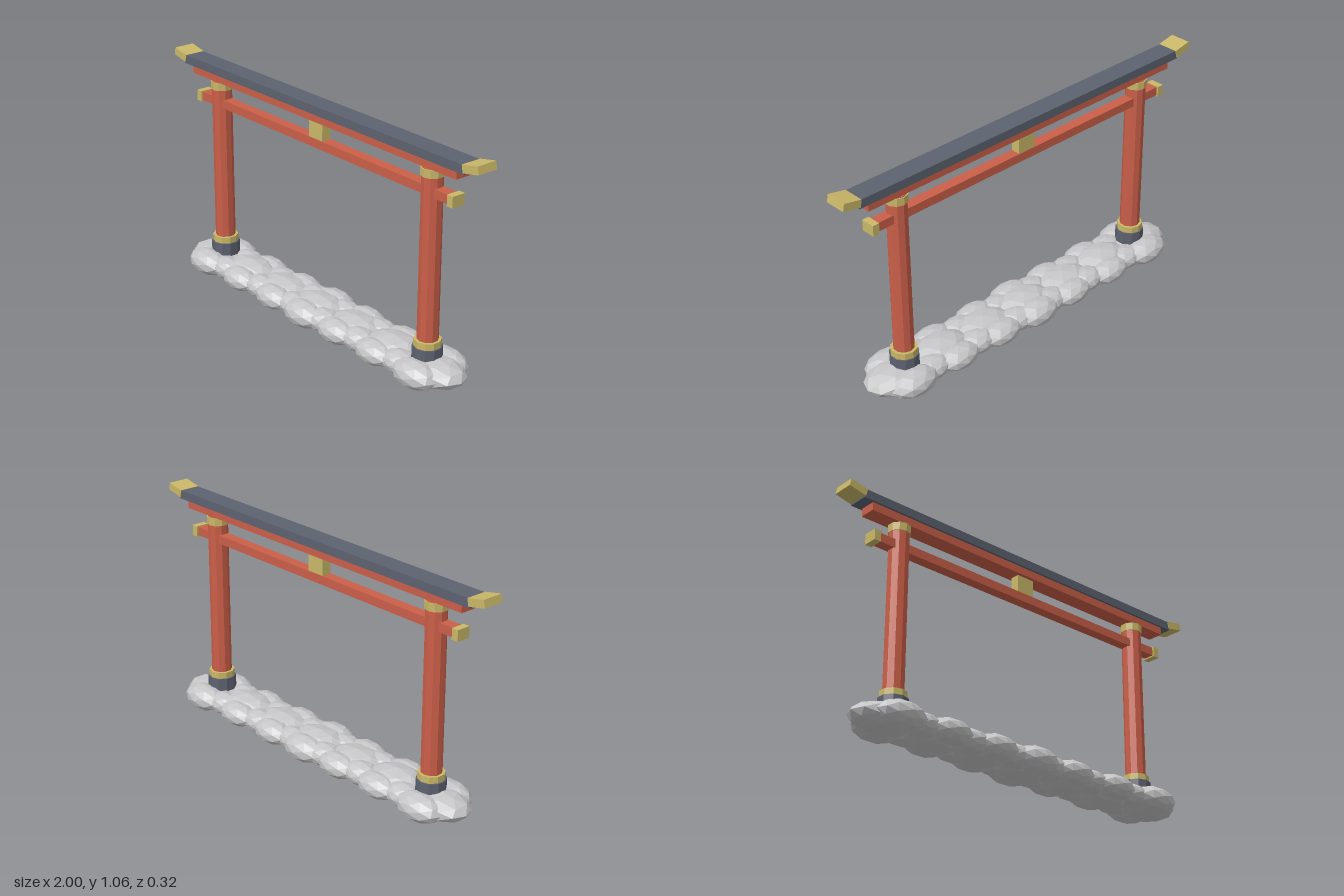
import * as THREE from 'three';

const paint = (name, color) => {
  const m = new THREE.MeshStandardMaterial({ color, flatShading: true });
  m.name = name;
  return m;
};

export function createModel() {
  const red = paint('vermilion wood', 0xcb5f49);
  const slate = paint('slate', 0x5d6270);
  const gold = paint('pale gold', 0xcab868);
  const stone = paint('grey stone', 0xc6c6c8);
  const gate = new THREE.Group();
  gate.name = 'gate';

  const add = (name, geometry, material, x, y, z = 0, parent = gate) => {
    const mesh = new THREE.Mesh(geometry, material);
    mesh.name = name;
    mesh.position.set(x, y, z);
    parent.add(mesh);
    return mesh;
  };
  // Box given by its height range
  const beam = (name, material, x, width, y0, y1, depth) =>
    add(name, new THREE.BoxGeometry(width, y1 - y0, depth), material, x, (y0 + y1) / 2);
  // Ten-sided drum given by its height range
  const drum = (name, material, x, y0, y1, rTop, rBottom = rTop) =>
    add(name, new THREE.CylinderGeometry(rTop, rBottom, y1 - y0, 10), material, x, (y0 + y1) / 2);

  // Cross beams and centre plaque
  beam('roofBeam', slate, 0, 1.84, 1.0, 1.04, 0.096);
  beam('upperBeam', red, 0, 1.74, 0.963, 1.0, 0.076);
  beam('lowerBeam', red, 0, 1.66, 0.84, 0.88, 0.05);
  beam('plaque', gold, 0, 0.09, 0.88, 0.963, 0.045);

  for (const side of [-1, 1]) {
    // Pillar with its footing and collars
    const x = 0.7 * side;
    drum('pillar', red, x, 0.12, 0.963, 0.046, 0.047);
    drum('footing', slate, x, 0.08, 0.165, 0.066, 0.067);
    drum('footCollar', gold, x, 0.165, 0.195, 0.06);
    drum('topCollar', gold, x, 0.924, 0.96, 0.051, 0.05);

    // Gold beam ends; the roof tips sweep upwards
    beam('lowerBeamEnd', gold, 0.834 * side, 0.032, 0.834, 0.884, 0.066);
    const tip = beam('roofTip', gold, 0.954 * side, 0.087, 1.015, 1.05, 0.1);
    tip.rotation.z = 0.2 * side;
  }

  // Bed of flattened, overlapping stones
  const bed = new THREE.Group();
  bed.name = 'stoneBed';
  gate.add(bed);
  const rock = new THREE.IcosahedronGeometry(1, 1);
  const addStone = (x, z, rx, ry, rz) =>
    add('stone', rock, stone, x, 0.066, z, bed).scale.set(rx, ry, rz);

  // Middle row
  for (let i = -3; i <= 3; i++) {
    const even = i % 2 === 0;
    addStone(i * 0.25, 0, 0.155, even ? 0.066 : 0.06, 0.11);
  }
  // Outer rows, with smaller stones in the gaps
  for (const side of [-1, 1]) {
    [-0.72, -0.47, -0.22, 0, 0.22, 0.47, 0.72].forEach((x, i) => {
      const big = i % 3 === 0;
      addStone(x, side * 0.085, big ? 0.12 : 0.11, big ? 0.06 : 0.054, big ? 0.077 : 0.07);
    });
    for (const x of [-0.6, -0.34, -0.1, 0.1, 0.34, 0.6]) {
      addStone(x, side * 0.06, 0.1, 0.052, 0.07);
    }
  }
  return gate;
}
